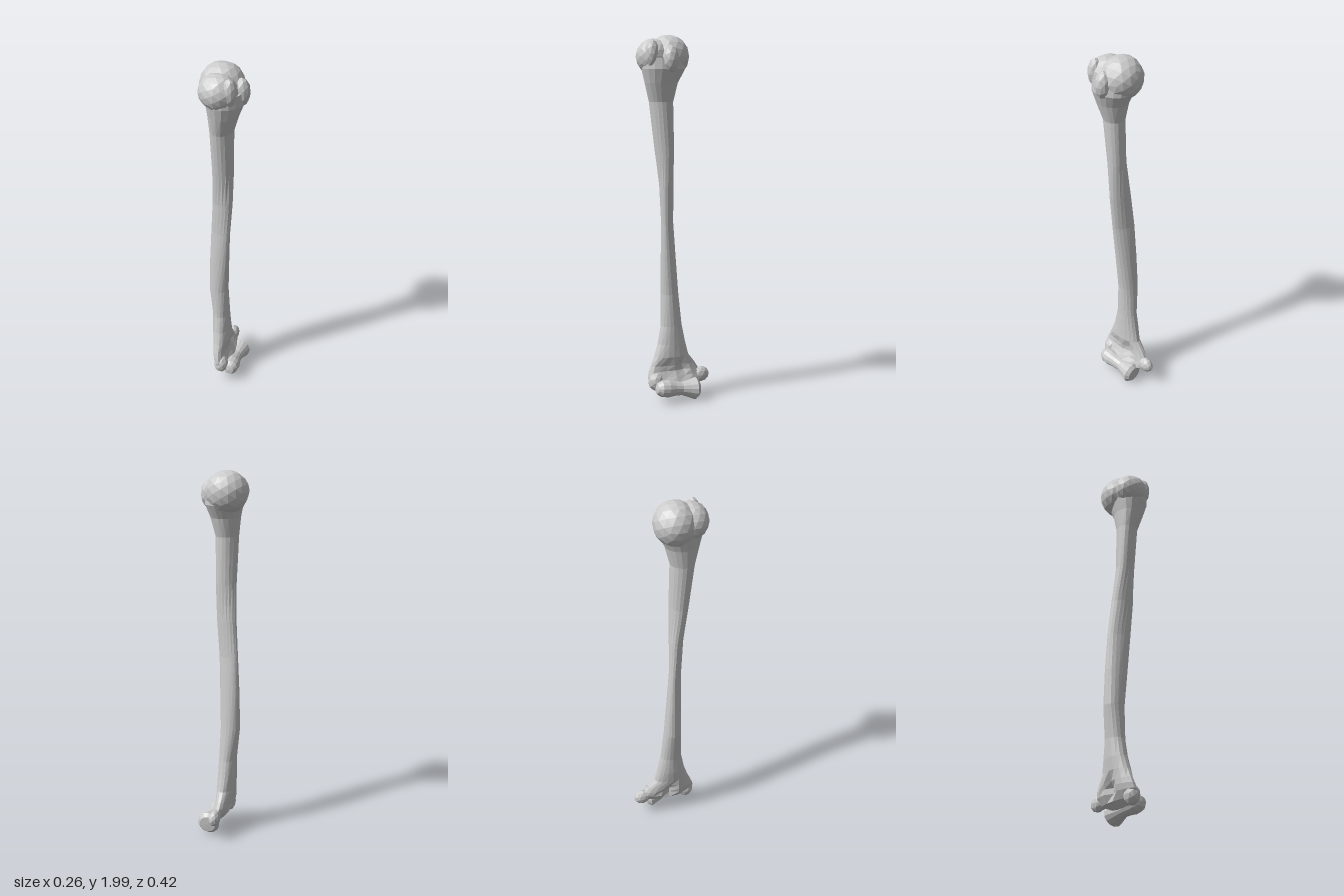
import * as THREE from 'three';

const material = new THREE.MeshStandardMaterial({ color: 0xcccccc, flatShading: true, roughness: 0.9 });

// Shaft sections from bottom to top: y, centre x, centre z, radius x, radius z, skew
const SECTIONS = [
  [0.07, 0.02, 0.01, 0.03, 0.11, 0],
  [0.10, 0.0, 0.0, 0.045, 0.145, 0],
  [0.14, -0.02, 0.0, 0.045, 0.155, 0],
  [0.17, -0.027, 0.002, 0.045, 0.145, 0],
  [0.20, -0.03, 0.005, 0.044, 0.13, 0],
  [0.25, -0.03, 0.013, 0.049, 0.10, 0],
  [0.32, -0.035, 0.01, 0.05, 0.08, 0],
  [0.42, -0.038, 0.01, 0.048, 0.06, 0],
  [0.60, -0.05, 0.015, 0.055, 0.05, 0.1],
  [0.80, -0.043, 0.025, 0.058, 0.045, 0.3],
  [1.00, -0.033, 0.035, 0.058, 0.04, 0.5],
  [1.20, -0.018, 0.045, 0.058, 0.042, 0.3],
  [1.40, -0.01, 0.06, 0.055, 0.05, -0.1],
  [1.65, -0.01, 0.078, 0.06, 0.063, -0.1],
  [1.75, 0.0, 0.08, 0.08, 0.09, 0],
  [1.82, 0.005, 0.07, 0.1, 0.118, 0],
  [1.88, 0.0, 0.07, 0.1, 0.12, 0],
];

// Hollows pressed into the flared lower end: y, z, side of x, depth
const HOLLOWS = [
  [0.165, -0.005, -1, 0.035],
  [0.175, -0.035, 1, 0.02],
  [0.175, 0.06, 1, 0.012],
];

function loft(sections, sides) {
  const pos = [];
  const index = [];
  sections.forEach(([y, cx, cz, rx, rz, skew]) => {
    for (let j = 0; j < sides; j++) {
      const a = (j / sides) * Math.PI * 2;
      let x = cx + rx * Math.cos(a);
      const z = cz + rz * Math.sin(a + skew);
      for (const [hy, hz, side, depth] of HOLLOWS) {
        const d = Math.hypot(y - hy, z - hz) / 0.05;
        if (d < 1 && (x - cx) * side > 0) x -= side * depth * (1 - d * d);
      }
      pos.push(x, y, z);
    }
  });
  const last = sections.length - 1;
  for (let i = 0; i < last; i++) {
    for (let j = 0; j < sides; j++) {
      const a = i * sides + j, c = i * sides + ((j + 1) % sides);
      index.push(a, a + sides, c, c, a + sides, c + sides);
    }
  }
  // End caps
  for (let j = 1; j < sides - 1; j++) {
    index.push(0, j, j + 1);
    const t = last * sides;
    index.push(t, t + j + 1, t + j);
  }
  const g = new THREE.BufferGeometry();
  g.setAttribute('position', new THREE.Float32BufferAttribute(pos, 3));
  g.setIndex(index);
  g.computeVertexNormals();
  return g;
}

// Slightly uneven faceted ellipsoid
function lump(name, center, radii, detail = 1, rough = 0.03) {
  const g = new THREE.IcosahedronGeometry(1, detail);
  const p = g.attributes.position;
  const v = new THREE.Vector3();
  for (let i = 0; i < p.count; i++) {
    v.fromBufferAttribute(p, i);
    v.multiplyScalar(1 + rough * Math.sin(v.x * 9 + v.y * 5) * Math.cos(v.z * 8 - v.y * 4));
    p.setXYZ(i, v.x * radii[0], v.y * radii[1], v.z * radii[2]);
  }
  g.computeVertexNormals();
  const mesh = new THREE.Mesh(g, material);
  mesh.name = name;
  mesh.position.set(...center);
  return mesh;
}

export function createModel() {
  const bone = new THREE.Group();
  bone.name = 'upperArmBone';

  const shaft = new THREE.Mesh(loft(SECTIONS, 18), material);
  shaft.name = 'shaft';
  bone.add(shaft);

  // Upper end: ball joint and the two bumps beside its groove
  bone.add(
    lump('ballHead', [-0.02, 1.885, 0.035], [0.115, 0.115, 0.112], 2, 0.015),
    lump('greaterBump', [-0.015, 1.885, 0.12], [0.1, 0.095, 0.09], 2, 0.02),
    lump('grooveRidge', [0.05, 1.9, 0.15], [0.038, 0.075, 0.038]),
    lump('lesserBump', [0.085, 1.87, 0.06], [0.045, 0.075, 0.045]),
  );

  // Lower end: spool-shaped hinge lying along z, tilted down at the inner side
  const profile = [
    [0, -0.122], [0.045, -0.12], [0.062, -0.1], [0.048, -0.06], [0.037, -0.02],
    [0.04, 0.02], [0.048, 0.06], [0.045, 0.1], [0.028, 0.125], [0, 0.13],
  ].map(([r, h]) => new THREE.Vector2(r, h));
  const hinge = new THREE.Mesh(new THREE.LatheGeometry(profile, 14), material);
  hinge.name = 'hingeSpool';
  hinge.rotation.x = Math.PI / 2 - 0.11;
  hinge.position.set(0.04, 0.076, 0);
  bone.add(hinge);

  // Side knobs above the hinge
  bone.add(
    lump('innerKnob', [-0.015, 0.125, -0.158], [0.032, 0.045, 0.05]),
    lump('outerKnob', [-0.01, 0.115, 0.11], [0.042, 0.055, 0.045]),
  );
  return bone;
}
